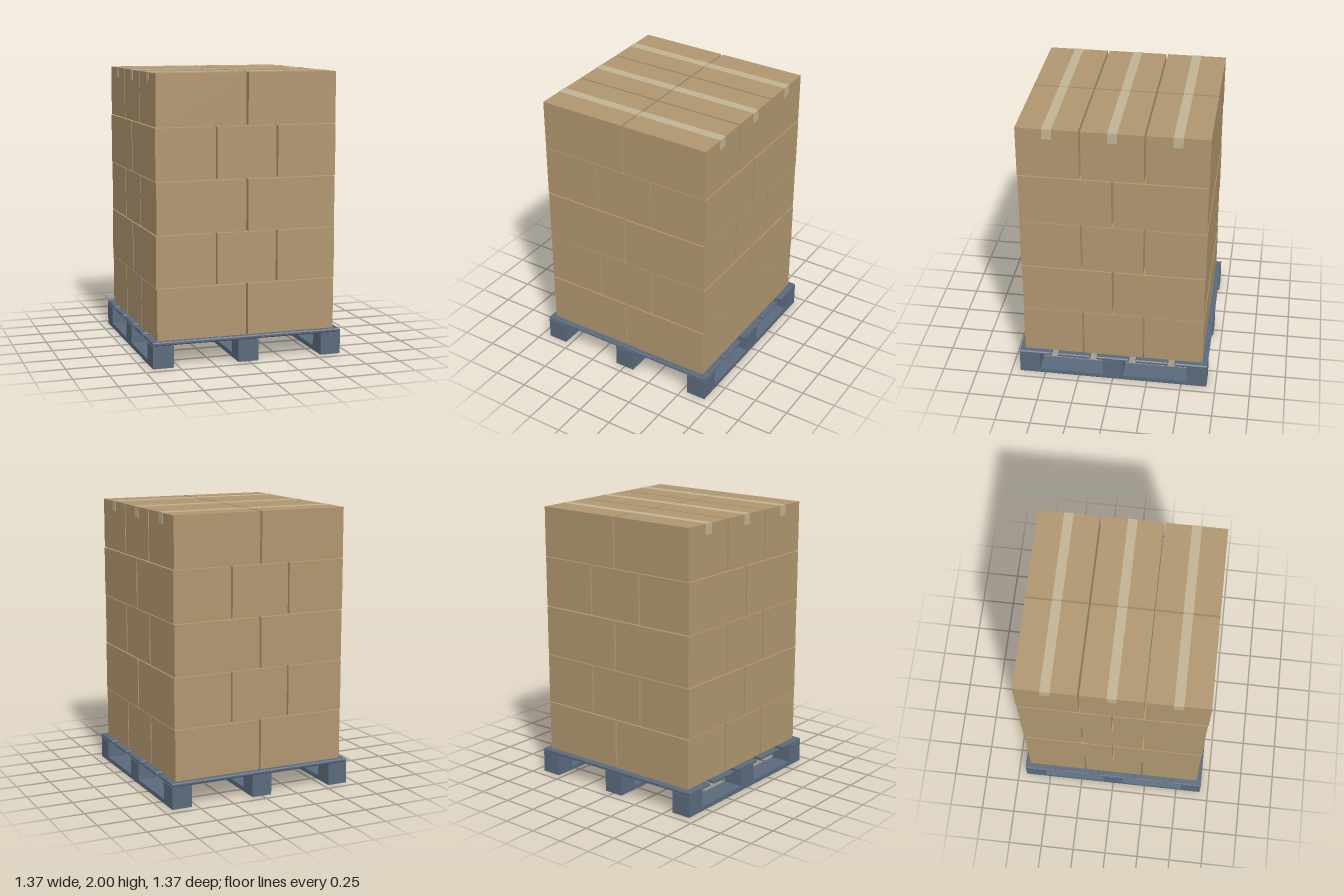
import * as THREE from 'three';

export function createModel() {
  const model = new THREE.Group();
  model.name = 'loadedPallet';

  const material = (name, color) => {
    const m = new THREE.MeshStandardMaterial({ color });
    m.name = name;
    return m;
  };
  const cardboard = material('cardboard', 0xb0966f);
  const tapeColor = material('packingTape', 0xc1b293);
  const slate = material('slatePallet', 0x5a6a7c);

  const add = (parent, name, geometry, mat, x, y, z) => {
    const mesh = new THREE.Mesh(geometry, mat);
    mesh.name = name;
    mesh.position.set(x, y, z);
    parent.add(mesh);
    return mesh;
  };
  const group = (name) => {
    const g = new THREE.Group();
    g.name = name;
    model.add(g);
    return g;
  };

  // Pallet: three runners, nine blocks and five chamfered deck boards
  const pallet = group('pallet');
  const half = 0.686, blockW = 0.147, runnerH = 0.032, deckY = 0.157, topY = 0.183;
  const offset = half - blockW / 2;
  const runnerGeo = new THREE.BoxGeometry(blockW, runnerH, half * 2);
  const blockGeo = new THREE.BoxGeometry(blockW, deckY - runnerH, blockW);
  for (const x of [-offset, 0, offset]) {
    add(pallet, 'runner', runnerGeo, slate, x, runnerH / 2, 0);
    for (const z of [-offset, 0, offset]) {
      add(pallet, 'block', blockGeo, slate, x, (deckY + runnerH) / 2, z);
    }
  }

  const boardW = 0.236, chamfer = 0.007;
  const bx = half - chamfer, bz = boardW / 2 - chamfer;
  const outline = new THREE.Shape([
    new THREE.Vector2(-bx, -bz), new THREE.Vector2(bx, -bz),
    new THREE.Vector2(bx, bz), new THREE.Vector2(-bx, bz),
  ]);
  const boardGeo = new THREE.ExtrudeGeometry(outline, {
    depth: topY - deckY - 2 * chamfer,
    bevelEnabled: true, bevelThickness: chamfer, bevelSize: chamfer, bevelSegments: 1,
  });
  boardGeo.rotateX(-Math.PI / 2);
  for (let i = -2; i <= 2; i++) {
    const z = i * (half - boardW / 2) / 2;
    add(pallet, 'deckBoard', boardGeo, slate, 0, deckY + chamfer, z);
  }

  // Cartons: five layers of six, turned a quarter on every other layer
  const cartons = group('cartons');
  const long = 0.637, short = 0.4235, gap = 0.006, tapeT = 0.002;
  const height = (2 - tapeT - topY - 4 * gap) / 5;
  const longPitch = long + 0.015, shortPitch = short + 0.013;
  const cartonGeo = new THREE.BoxGeometry(long, height, short);
  for (let layer = 0; layer < 5; layer++) {
    const row = new THREE.Group();
    row.name = 'cartonLayer';
    row.position.y = topY + layer * (height + gap) + height / 2;
    if (layer % 2) row.rotation.y = Math.PI / 2;
    cartons.add(row);
    for (const i of [-0.5, 0.5]) {
      for (const j of [-1, 0, 1]) {
        add(row, 'carton', cartonGeo, cardboard, i * longPitch, 0, j * shortPitch);
      }
    }
  }

  // Tape over each top carton, with a short flap down both ends
  const tapes = group('tape');
  const tapeW = 0.066, flapH = 0.075;
  const stripGeo = new THREE.BoxGeometry(long + 2 * tapeT, tapeT, tapeW);
  const flapGeo = new THREE.BoxGeometry(tapeT, flapH - tapeT, tapeW);
  for (const i of [-0.5, 0.5]) {
    for (const j of [-1, 0, 1]) {
      const x = i * longPitch, z = j * shortPitch;
      add(tapes, 'tapeStrip', stripGeo, tapeColor, x, 2 - tapeT / 2, z);
      for (const s of [-1, 1]) {
        add(tapes, 'tapeFlap', flapGeo, tapeColor,
          x + s * (long + tapeT) / 2, 2 - tapeT - (flapH - tapeT) / 2, z);
      }
    }
  }

  return model;
}
